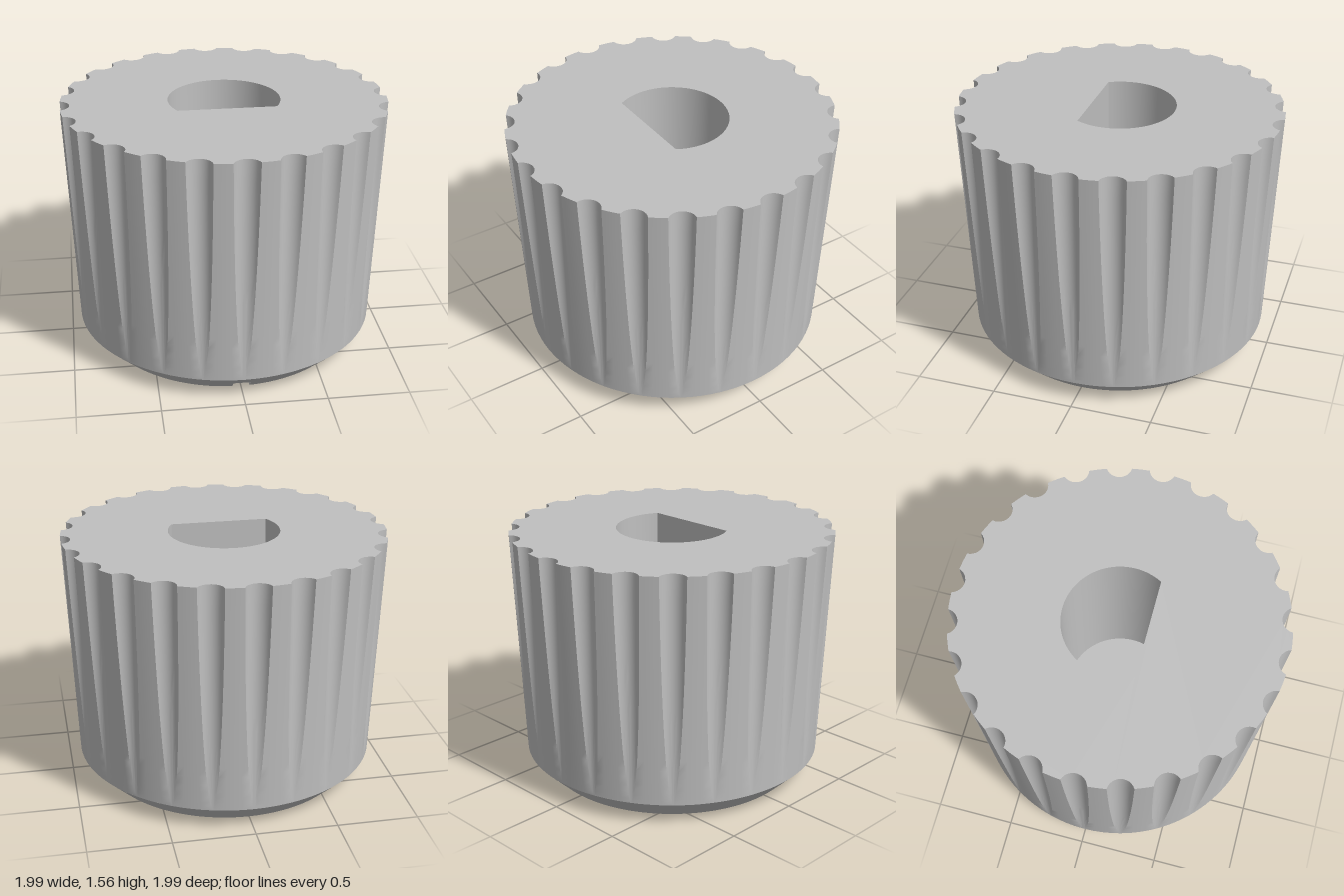
import * as THREE from 'three';
import { toCreasedNormals } from 'three/addons/utils/BufferGeometryUtils.js';

const FLUTES = 24, FLUTE_CENTRE = 1.02, FLUTE_R = 0.08;
const TOP = 1.56, RIM = 0.135, R_TOP = 1, R_RIM = 0.94, R_BASE = 0.8;
const SLOT = { w: 0.053, h: 0.065, inner: 0.5 };
const HOLE = { r: 0.345, flat: 0.17, floor: 0.4 };

// Joins successive loops of [x, y, z] points with quads
function skin(loops, closed, crease = 0.5) {
  const n = loops[0].length, index = [];
  for (let j = 0; j < loops.length - 1; j++) {
    for (let i = 0; i < (closed ? n : n - 1); i++) {
      const k = (i + 1) % n, a = j * n, b = a + n;
      index.push(a + i, a + k, b + k, a + i, b + k, b + i);
    }
  }
  const g = new THREE.BufferGeometry();
  g.setAttribute('position', new THREE.Float32BufferAttribute(loops.flat(2), 3));
  g.setIndex(index);
  return toCreasedNormals(g, crease);
}

// Outline of the fluted, tapered wall at height y
function flutedLoop(y) {
  const R = THREE.MathUtils.mapLinear(y, RIM, TOP, R_RIM, R_TOP);
  const c = FLUTE_CENTRE, r = FLUTE_R, step = (Math.PI * 2) / FLUTES;
  const cosA = (c * c + r * r - R * R) / (2 * c * r);
  const reach = Math.max(0.1, Math.acos(Math.min(1, cosA)));
  const edge = Math.atan2(r * Math.sin(reach), c - r * Math.cos(reach));
  const pts = [];
  const add = (angle, rad) => pts.push([rad * Math.sin(angle), y, rad * Math.cos(angle)]);
  for (let f = 0; f < FLUTES; f++) {
    for (let i = 0; i <= 12; i++) {
      const a = reach * (i / 6 - 1);
      const u = c - r * Math.cos(a), v = r * Math.sin(a);
      add(f * step + Math.atan2(v, u), Math.min(R, Math.hypot(u, v)));
    }
    for (let i = 1; i < 4; i++) add(f * step + edge + (step - 2 * edge) * (i / 4), R);
  }
  return pts;
}

// Arc around the chamfer that leaves a gap for the front slot
function chamferLoop(y) {
  const R = THREE.MathUtils.mapLinear(y, 0, RIM, R_BASE, R_RIM);
  const gap = Math.asin(SLOT.w / R), pts = [];
  for (let i = 0; i <= 120; i++) {
    const a = gap + (Math.PI * 2 - 2 * gap) * (i / 120);
    pts.push([R * Math.sin(a), y, R * Math.cos(a)]);
  }
  return pts;
}

export function createModel() {
  const group = new THREE.Group();
  const grey = new THREE.MeshStandardMaterial({ color: 0xc0c0c0 });
  grey.name = 'grey';
  const add = (name, geometry) => {
    const mesh = new THREE.Mesh(geometry, grey);
    mesh.name = name;
    group.add(mesh);
    return mesh;
  };

  // Fluted grip, rows packed closer where the flutes run out
  const rows = [];
  for (let i = 0; i <= 20; i++) rows.push(flutedLoop(RIM + (TOP - RIM) * (i / 20) ** 2));
  add('flutedGrip', skin(rows, true));

  // D-shaped shaft hole
  const start = -Math.asin(HOLE.flat / HOLE.r), sweep = Math.PI - 2 * start;
  const dPts = [];
  for (let i = 0; i <= 64; i++) {
    const a = start + sweep * (i / 64);
    dPts.push(new THREE.Vector2(HOLE.r * Math.cos(a), HOLE.r * Math.sin(a)));
  }
  const ring = (y) => dPts.map((p) => [p.x, y, -p.y]);
  add('shaftHoleWall', skin([ring(TOP), ring(HOLE.floor)], true));
  const floor = new THREE.ShapeGeometry(new THREE.Shape(dPts)).rotateX(-Math.PI / 2);
  add('shaftHoleFloor', floor).position.y = HOLE.floor;

  // Top face
  const topShape = new THREE.Shape(rows[20].map(([x, , z]) => new THREE.Vector2(x, -z)));
  topShape.holes.push(new THREE.Path(dPts));
  add('topFace', new THREE.ShapeGeometry(topShape).rotateX(-Math.PI / 2)).position.y = TOP;

  // Chamfer, open at the slot below and whole above it
  const base = chamferLoop(0), slotTop = chamferLoop(SLOT.h);
  add('lowerChamfer', skin([base, slotTop], false));
  add('upperChamfer', skin([slotTop, chamferLoop(RIM)], true));

  // Bottom face with the slot cut out
  const bottom = base.map(([x, , z]) => new THREE.Vector2(x, z));
  bottom.push(new THREE.Vector2(-SLOT.w, SLOT.inner), new THREE.Vector2(SLOT.w, SLOT.inner));
  add('bottomFace', new THREE.ShapeGeometry(new THREE.Shape(bottom)).rotateX(Math.PI / 2));

  // Indicator slot: sides, ceiling and end wall
  const channel = (zLow, zHigh) => [
    [-SLOT.w, 0, zLow], [-SLOT.w, SLOT.h, zHigh], [SLOT.w, SLOT.h, zHigh], [SLOT.w, 0, zLow],
  ];
  add('slotChannel', skin([channel(SLOT.inner, SLOT.inner), channel(base[0][2], slotTop[0][2])], false));
  add('slotEnd', new THREE.PlaneGeometry(SLOT.w * 2, SLOT.h)).position.set(0, SLOT.h / 2, SLOT.inner);

  return group;
}
